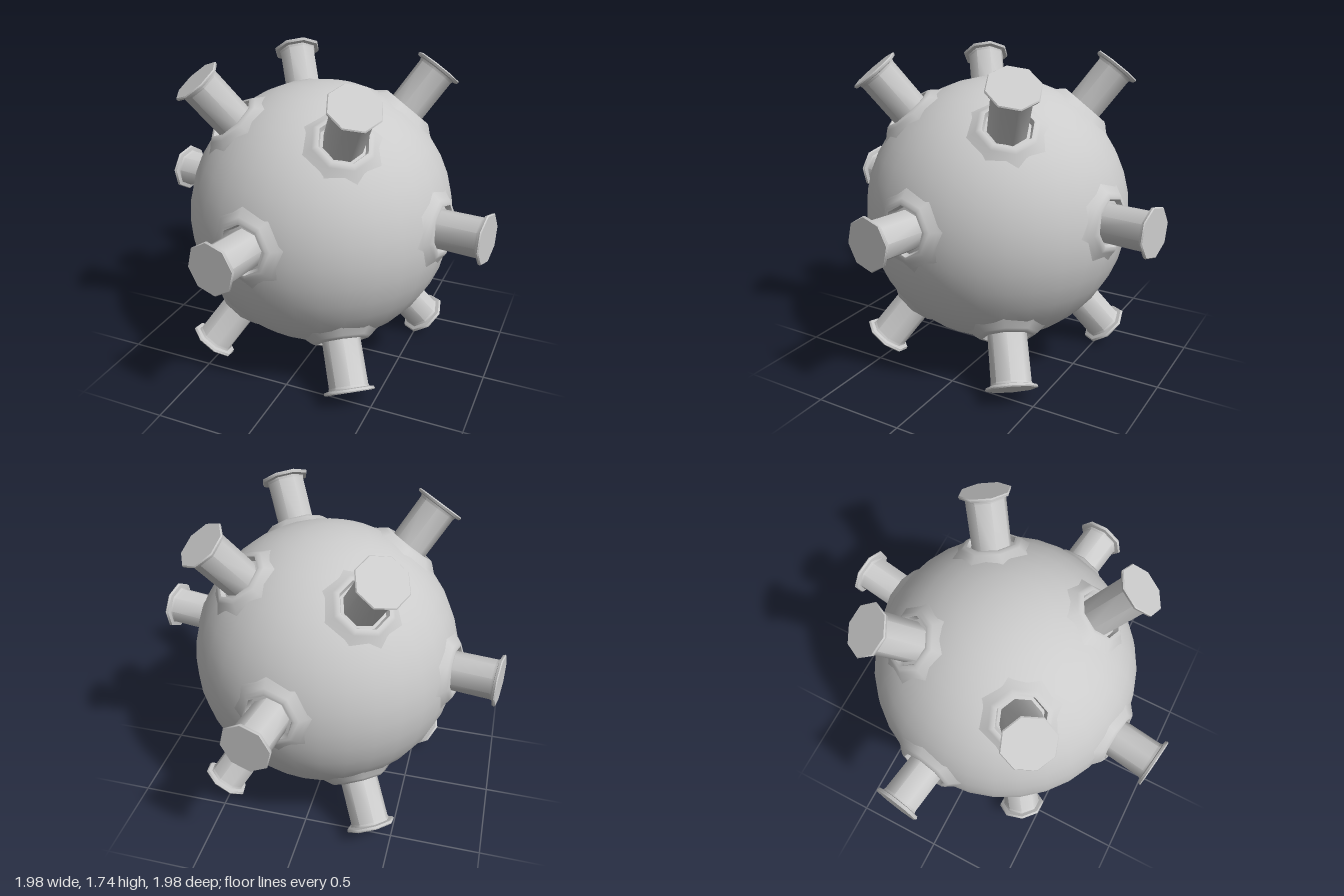
import * as THREE from 'three';
import { toCreasedNormals } from 'three/addons/utils/BufferGeometryUtils.js';

const CENTER = new THREE.Vector3(0, 0.88, 0);
const RADIUS = 0.735;
const UP = new THREE.Vector3(0, 1, 0);

const material = new THREE.MeshStandardMaterial({ color: 0xcccccc });
const openMaterial = new THREE.MeshStandardMaterial({ color: 0xcccccc, side: THREE.DoubleSide });

// eight-sided turned shape from [radius, height] pairs
function turned(profile, crease) {
  const points = profile.map(([r, h]) => new THREE.Vector2(r, h));
  return toCreasedNormals(new THREE.LatheGeometry(points, 8), crease);
}

function place(mesh, name, position, direction) {
  mesh.name = name;
  mesh.position.copy(position);
  mesh.quaternion.setFromUnitVectors(UP, direction);
  return mesh;
}

// a horn rising from a raised socket on the ball; from and to are relative to the ball centre
function makeHorn(name, from, to) {
  const group = new THREE.Group();
  group.name = name;
  const axis = to.clone().sub(from);
  const length = axis.length();
  axis.normalize();

  // stem sunk into the ball, with a flared lip and flat cap
  const stem = turned([
    [0.105, -0.1], [0.107, length - 0.035], [0.112, length - 0.022],
    [0.134, length - 0.018], [0.139, length - 0.006], [0.134, length], [0, length],
  ], 0.8);
  group.add(place(new THREE.Mesh(stem, material), 'hornStem', from, axis));

  // raised rim with a shallow recess around the stem
  const outward = from.clone().normalize();
  const collar = turned([
    [0.235, 0.686], [0.195, 0.712], [0.165, 0.738], [0.148, 0.75], [0.132, 0.75], [0.112, 0.7],
  ], 0.75);
  group.add(place(new THREE.Mesh(collar, openMaterial), 'hornSocket', new THREE.Vector3(), outward));
  return group;
}

export function createModel() {
  const model = new THREE.Group();
  model.name = 'spikedBall';

  const ball = new THREE.Mesh(new THREE.SphereGeometry(RADIUS, 32, 20), material);
  ball.name = 'ball';
  ball.position.copy(CENTER);
  model.add(ball);

  // three rings of four horns, each ring turned in quarter steps
  const v = (x, y, z) => new THREE.Vector3(x, y, z);
  const rings = [
    ['middleHorn', v(0.7, 0.06, 0.105), v(0.972, 0.065, 0.147)],
    ['upperHorn', v(0.28, 0.56, 0.385), v(0.39, 0.785, 0.53)],
    ['lowerHorn', v(0.28, -0.56, 0.385), v(0.39, -0.785, 0.53)],
  ];
  for (const [name, from, to] of rings) {
    for (let i = 0; i < 4; i++) {
      const horn = makeHorn(name, from, to);
      horn.position.copy(CENTER);
      horn.rotation.y = i * Math.PI / 2;
      model.add(horn);
    }
  }
  return model;
}
